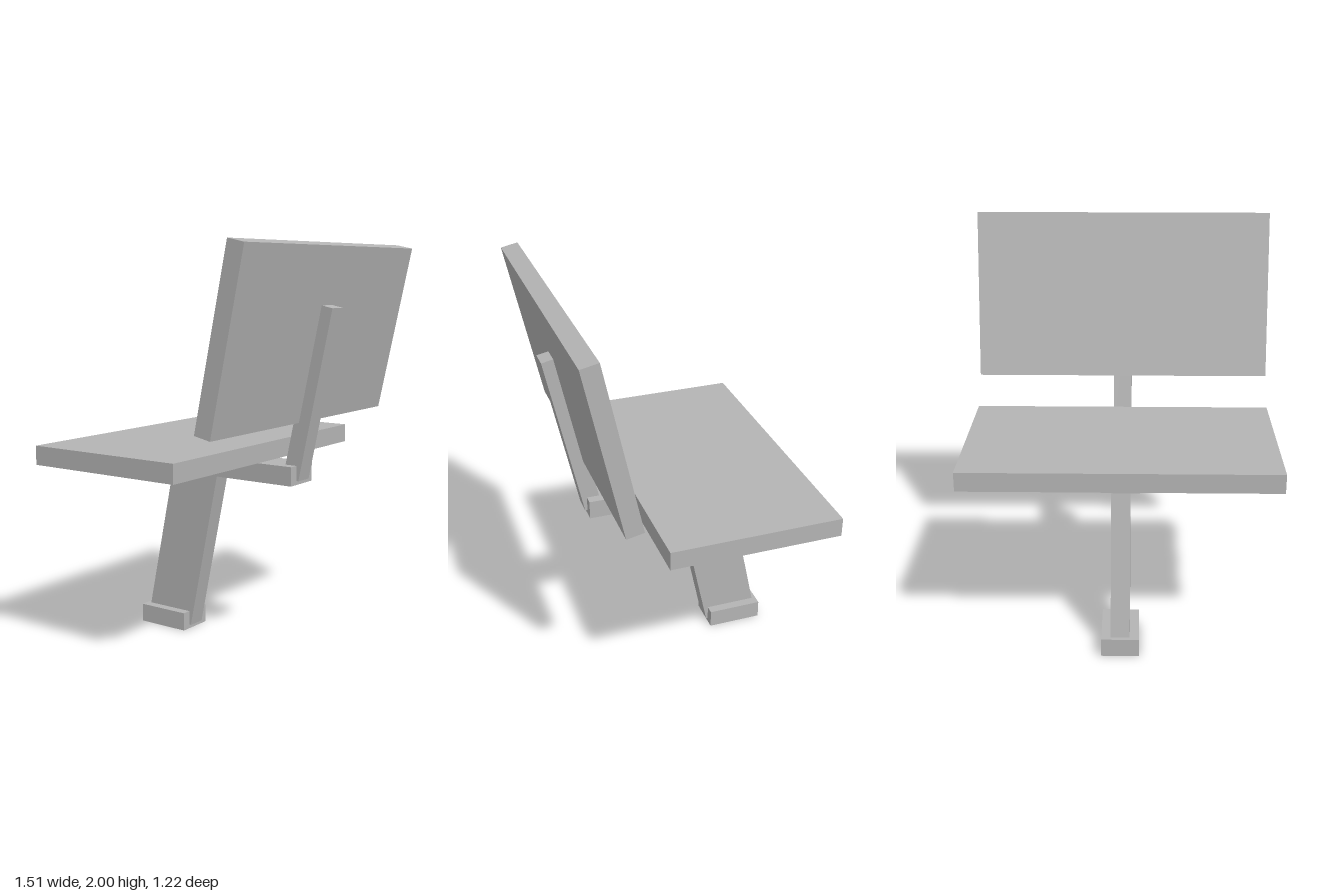
import * as THREE from 'three';

const TILT = 0.208; // shared lean of the leg, the upright and the backrest

export function createModel() {
  const group = new THREE.Group();
  const grey = new THREE.MeshStandardMaterial({ color: 0xb4b4b4 });
  grey.name = 'grey';

  // Box centred on x = 0, optionally leaning towards the front
  function board(name, width, height, depth, y, z, tilt = 0) {
    const mesh = new THREE.Mesh(new THREE.BoxGeometry(width, height, depth), grey);
    mesh.name = name;
    mesh.position.set(0, y, z);
    mesh.rotation.x = tilt;
    group.add(mesh);
  }

  // Foot and slanted leg
  board('foot', 0.188, 0.094, 0.282, 0.047, -0.374);
  board('leg', 0.094, 0.85, 0.28, 0.464, -0.273, TILT);

  // Beam carrying the seat
  board('seatBeam', 0.188, 0.094, 0.846, 0.897, 0.002);
  board('seat', 1.51, 0.094, 0.846, 0.991, -0.188);

  // Upright and backrest
  board('backUpright', 0.094, 0.848, 0.087, 1.293, 0.481, TILT);
  board('backrest', 1.51, 0.848, 0.087, 1.577, 0.481, TILT);

  return group;
}
